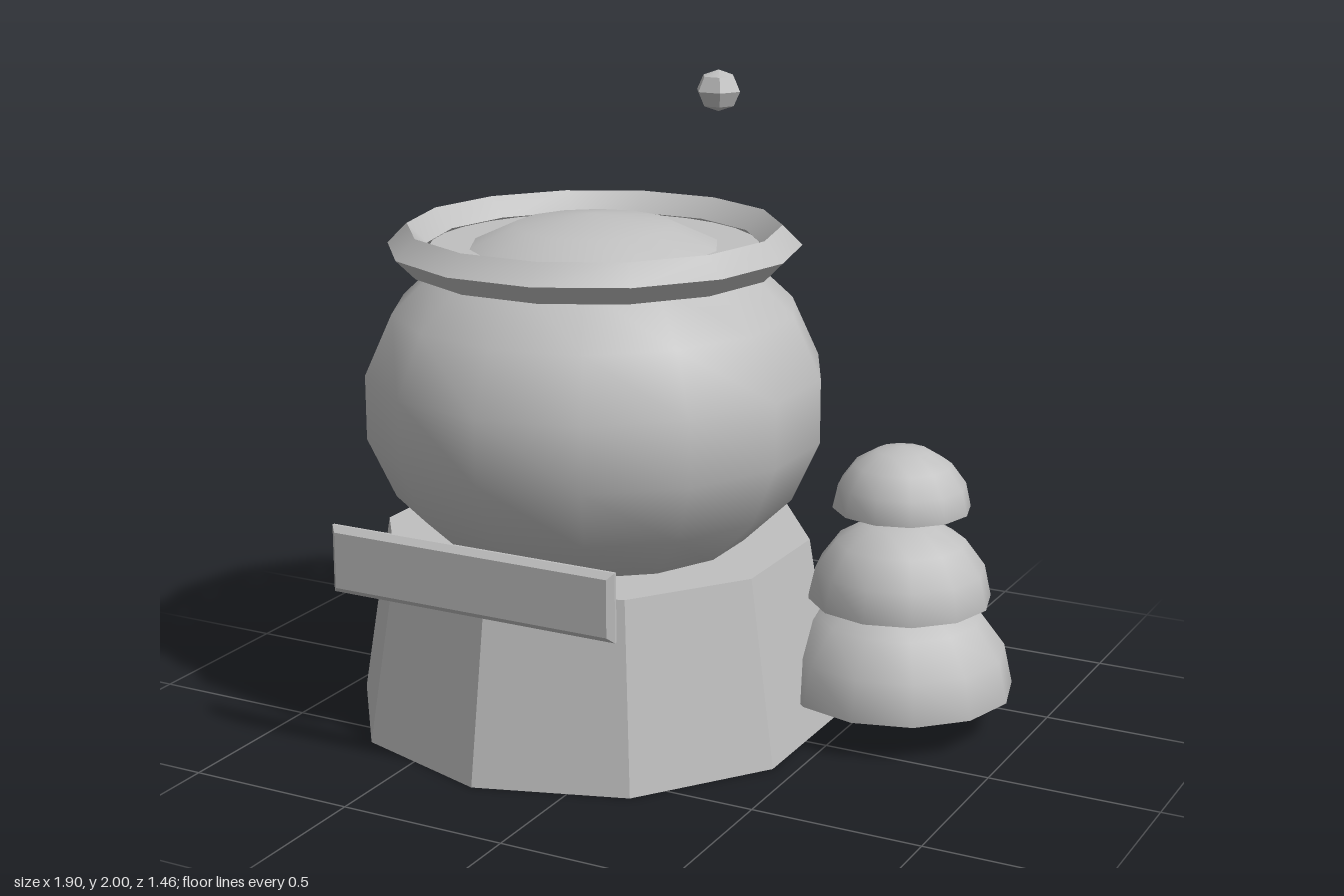
import * as THREE from 'three';
import { toCreasedNormals } from 'three/addons/utils/BufferGeometryUtils.js';

export function createModel() {
  const group = new THREE.Group();
  const grey = new THREE.MeshStandardMaterial({ color: 0xc0c0c0, side: THREE.DoubleSide });
  grey.name = 'grey';

  const add = (name, geometry, x, y, z) => {
    const mesh = new THREE.Mesh(geometry, grey);
    mesh.name = name;
    mesh.position.set(x, y, z);
    group.add(mesh);
    return mesh;
  };
  const creased = (geometry) => toCreasedNormals(geometry, Math.PI / 6);
  const potX = -0.26;

  // Ten-sided tapered pedestal
  add('pedestal', creased(new THREE.CylinderGeometry(0.64, 0.73, 0.55, 10)), potX, 0.275, 0);

  // Squashed round pot, its crown showing above the contents
  const pot = new THREE.SphereGeometry(0.685, 14, 9);
  pot.rotateY(Math.PI / 2);
  pot.scale(1, 0.8, 1);
  add('pot', pot, potX, 0.96, 0);

  // Rim with a diamond cross-section
  const rim = new THREE.TorusGeometry(0.545, 0.058, 4, 14);
  rim.rotateX(Math.PI / 2);
  add('rim', creased(rim), potX, 1.418, 0);

  // Flat surface of the contents
  add('contents', creased(new THREE.CylinderGeometry(0.49, 0.49, 0.03, 14)), potX, 1.4, 0);

  // Sign board with bevelled edges
  const bevel = 0.017;
  const w = 0.905 / 2 - bevel;
  const h = 0.198 / 2 - bevel;
  const outline = new THREE.Shape([
    new THREE.Vector2(-w, -h), new THREE.Vector2(w, -h),
    new THREE.Vector2(w, h), new THREE.Vector2(-w, h),
  ]);
  const board = new THREE.ExtrudeGeometry(outline, {
    depth: 0.008, bevelThickness: bevel, bevelSize: bevel, bevelSegments: 1,
  });
  board.translate(0, 0, -0.004);
  add('signBoard', creased(board), potX, 0.601, 0.708);

  // Bush of three stacked hollow domes
  const tiers = [[0.343, 0.115], [0.271, 0.39], [0.203, 0.667]];
  tiers.forEach(([radius, y], i) => {
    const dome = new THREE.SphereGeometry(radius, 12, 4, 0, Math.PI * 2, 0, Math.PI / 2);
    dome.scale(1, 0.91, 1);
    add(`bushTier${i + 1}`, dome, 0.605, y, -0.277);
  });

  // Small faceted spark floating above the pot
  const spark = new THREE.SphereGeometry(0.063, 6, 4);
  spark.scale(1, 0.87, 1);
  add('spark', creased(spark), 0.31, 1.945, 0.343);

  return group;
}
